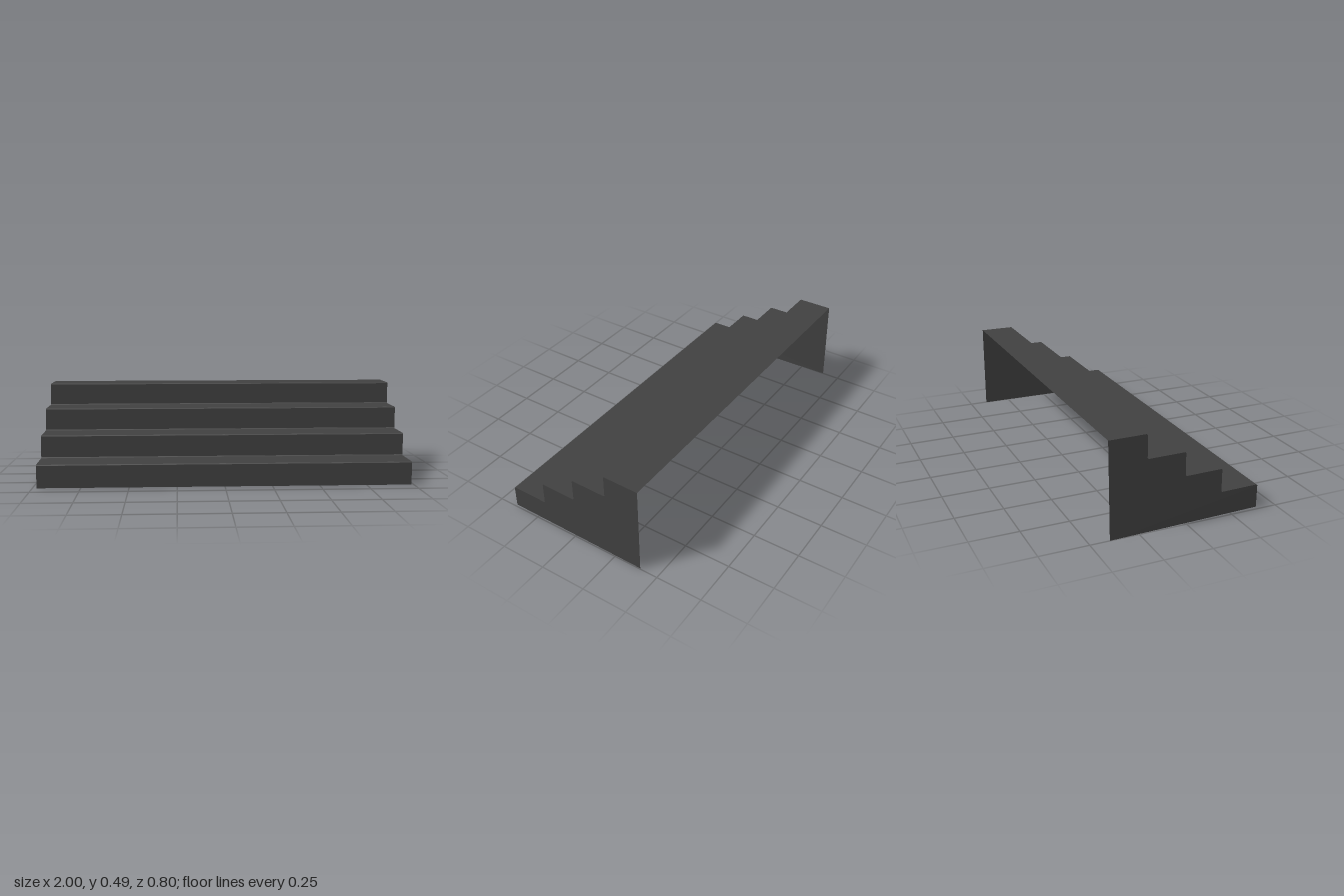
import * as THREE from 'three';

const STEPS = 4, RISE = 0.1225, RUN = 0.2, BACK = -0.4, BEVEL = 0.005;
const HEIGHT = STEPS * RISE;

// End planes: the right end flares slightly towards its lower back corner
const rightEnd = (y, z) => -0.978 - 0.022 * (1 - y / HEIGHT) * (0.4 - z) / 0.8;
const leftEnd = (y, z) => 0.992 - 0.004 * (z / 0.4);

// Stair outline as [z, y], from the front foot up to the top back edge
function stairProfile() {
  const points = [[0.402, 0]];
  for (let i = 0; i < STEPS; i++) {
    const z = i === 0 ? 0.402 : 0.395 - i * RUN;
    const top = (i + 1) * RISE;
    if (i > 0) points.push([z + BEVEL, i * RISE], [z, i * RISE + BEVEL]);
    points.push([z, top - BEVEL], [z - BEVEL, top]);
  }
  points.push([BACK, HEIGHT]);
  return points;
}

// One strip of the folded sheet between two neighbouring outline points
function strip([z0, y0], [z1, y1], material) {
  const a = [rightEnd(y0, z0), y0, z0], b = [leftEnd(y0, z0), y0, z0];
  const c = [leftEnd(y1, z1), y1, z1], d = [rightEnd(y1, z1), y1, z1];
  const geometry = new THREE.BufferGeometry();
  geometry.setAttribute('position', new THREE.Float32BufferAttribute([a, b, c, a, c, d].flat(), 3));
  geometry.computeVertexNormals();
  return new THREE.Mesh(geometry, material);
}

// Stepped end panel, laid onto its end plane
function endPanel(profile, endX, isLeft, material) {
  const outline = [...profile, [BACK, 0]].map(([z, y]) => new THREE.Vector2(z, y));
  const geometry = new THREE.ShapeGeometry(new THREE.Shape(outline));
  const position = geometry.attributes.position;
  for (let i = 0; i < position.count; i++) {
    const z = position.getX(i), y = position.getY(i);
    position.setXYZ(i, endX(y, z), y, z);
  }
  // Turn the left panel's faces outwards
  if (isLeft) geometry.setIndex(Array.from(geometry.index.array).reverse());
  const flat = geometry.toNonIndexed();
  flat.computeVertexNormals();
  return new THREE.Mesh(flat, material);
}

export function createModel() {
  const model = new THREE.Group();
  model.name = 'stairs';
  const material = new THREE.MeshStandardMaterial({ color: 0x404040, side: THREE.DoubleSide });
  const profile = stairProfile();

  // Treads, risers and narrow bevels; the back and underside stay open
  const steps = new THREE.Group();
  steps.name = 'steps';
  for (let i = 0; i < profile.length - 1; i++) {
    const mesh = strip(profile[i], profile[i + 1], material);
    const dz = Math.abs(profile[i + 1][0] - profile[i][0]);
    const dy = Math.abs(profile[i + 1][1] - profile[i][1]);
    mesh.name = dz > 3 * dy ? 'tread' : dy > 3 * dz ? 'riser' : 'bevel';
    steps.add(mesh);
  }
  model.add(steps);

  // Closed ends
  const right = endPanel(profile, rightEnd, false, material);
  right.name = 'rightEndPanel';
  const left = endPanel(profile, leftEnd, true, material);
  left.name = 'leftEndPanel';
  model.add(right, left);
  return model;
}
